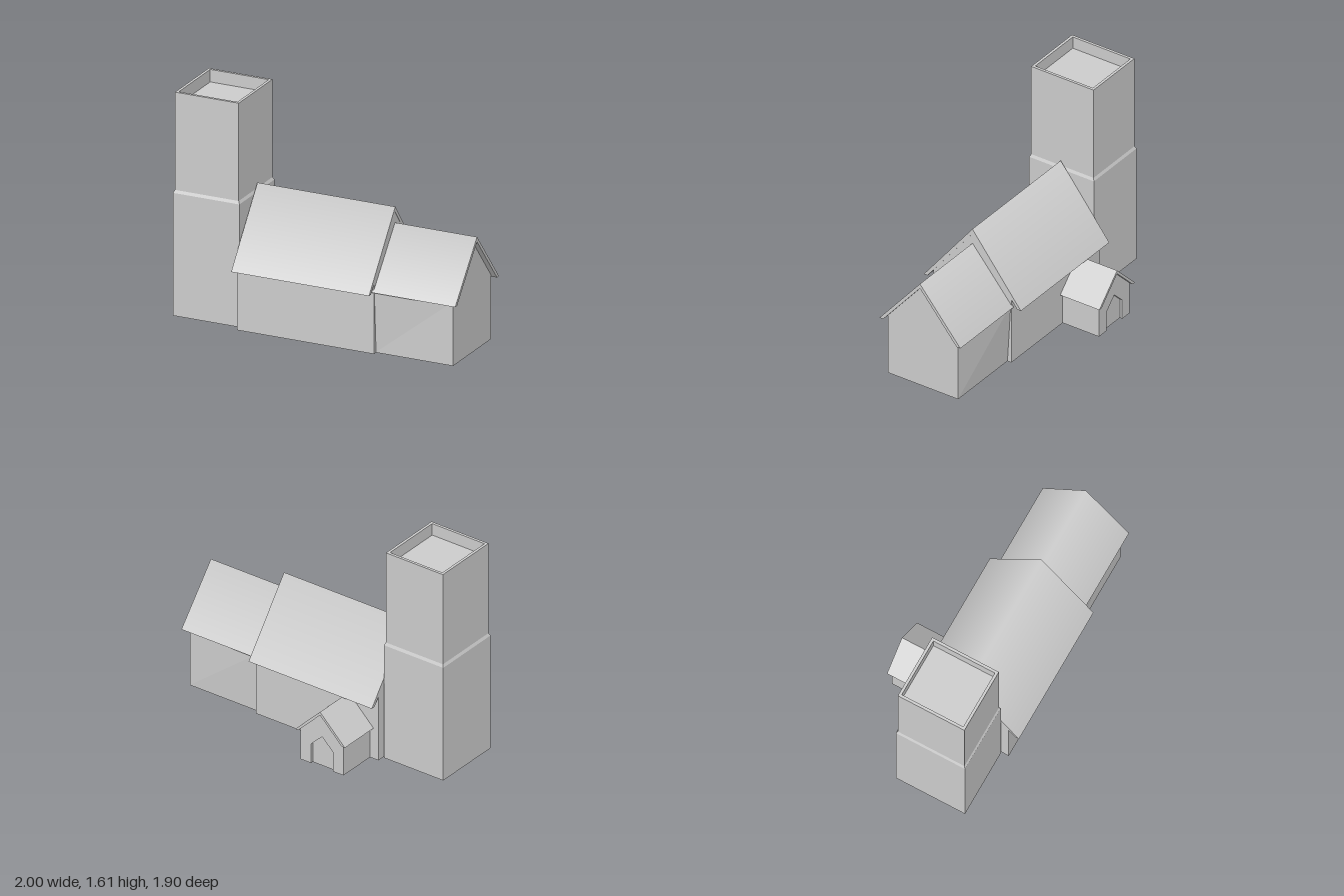
import * as THREE from 'three';

const material = new THREE.MeshStandardMaterial({ color: 0xcccccc });

// Local frame: x runs along the church from tower to chancel, z across it.
export function createModel() {
  const model = new THREE.Group();
  model.name = 'church';
  model.rotation.y = THREE.MathUtils.degToRad(-42.5);

  const add = (parent, name, geometry) => {
    const mesh = new THREE.Mesh(geometry, material);
    mesh.name = name;
    parent.add(mesh);
    return mesh;
  };
  const group = (name) => {
    const g = new THREE.Group();
    g.name = name;
    model.add(g);
    return g;
  };
  const shapeOf = (pts) => new THREE.Shape(pts.map(([x, y]) => new THREE.Vector2(x, y)));
  // Extrude a cross-section from one depth to another along z
  const extrude = (shape, from, to) =>
    new THREE.ExtrudeGeometry(shape, { depth: to - from, bevelEnabled: false }).translate(0, 0, from);

  // Gabled wall outline whose top follows the underside of its roof
  const underside = (r, x) => r.eave + (r.half - r.thick - x) * (r.ridge - r.eave) / r.half;
  const gable = (r, w, opening = []) => shapeOf([
    [-w, 0], ...opening, [w, 0], [w, underside(r, w)], [0, underside(r, 0)], [-w, underside(r, w)],
  ]);

  // Roof: an inverted V with level eaves; shading may blend over the ridge
  const roof = (r, from, to, smooth) => {
    const inner = r.half - r.thick;
    const g = extrude(shapeOf([
      [-r.half, r.eave], [-inner, r.eave], [0, underside(r, 0)],
      [inner, r.eave], [r.half, r.eave], [0, r.ridge],
    ]), from, to);
    const p = g.attributes.position, n = g.attributes.normal;
    for (let i = 0; smooth && i < p.count; i++) {
      if (Math.abs(p.getX(i)) < 1e-4 && Math.abs(n.getZ(i)) < 0.5) n.setXYZ(i, 0, Math.sign(n.getY(i)), 0);
    }
    return g;
  };

  // Nave
  const nave = group('nave');
  const naveRoof = { half: 0.4, eave: 0.445, ridge: 0.955, thick: 0.03 };
  add(nave, 'naveWalls', extrude(gable(naveRoof, 0.32), -0.603, 0.43).rotateY(Math.PI / 2));
  add(nave, 'naveRoof', roof(naveRoof, -0.606, 0.432, true).rotateY(Math.PI / 2));

  // Chancel: the wall heads splay out to meet the nave corners
  const chancel = group('chancel');
  const chancelRoof = { half: 0.333, eave: 0.445, ridge: 0.84, thick: 0.03 };
  const walls = extrude(gable(chancelRoof, 0.288), 0.425, 1.01);
  const wp = walls.attributes.position;
  for (let i = 0; i < wp.count; i++) {
    if (wp.getZ(i) < 0.5 && wp.getY(i) > 0.1) wp.setX(i, wp.getX(i) * 0.315 / 0.288);
  }
  walls.computeVertexNormals();
  add(chancel, 'chancelWalls', walls.rotateY(Math.PI / 2));
  add(chancel, 'chancelRoof', roof(chancelRoof, 0.42, 1.048, true).rotateY(Math.PI / 2));

  // Porch with a shallow pointed doorway
  const porch = group('porch');
  porch.position.x = -0.352;
  const porchRoof = { half: 0.209, eave: 0.238, ridge: 0.445, thick: 0.026 };
  const doorway = [[-0.093, 0], [-0.093, 0.15], [0, 0.24], [0.093, 0.15], [0.093, 0]];
  add(porch, 'porchWalls', extrude(gable(porchRoof, 0.18), -0.6, -0.31));
  add(porch, 'porchFront', extrude(gable(porchRoof, 0.18, doorway), -0.62, -0.6));
  add(porch, 'porchRoof', roof(porchRoof, -0.643, -0.31, false));

  // Tower: base, sloping ledge, upper stage and hollow parapet
  const tower = group('tower');
  tower.position.set(-0.861, 0, -0.003);
  const w = 0.5, d = 0.534, inset = 0.01, rim = 0.02;
  const uw = w - 2 * inset, ud = d - 2 * inset;
  const ledgeLow = 0.885, ledgeHigh = 0.905, deck = 1.52, top = 1.61;
  const block = (name, bw, bd, y0, y1) =>
    add(tower, name, new THREE.BoxGeometry(bw, y1 - y0, bd).translate(0, (y0 + y1) / 2, 0));
  block('towerBase', w, d, 0, ledgeLow);
  block('towerUpper', uw, ud, ledgeHigh, deck);

  const ledge = new THREE.BoxGeometry(w, ledgeHigh - ledgeLow, d).translate(0, (ledgeLow + ledgeHigh) / 2, 0);
  const lp = ledge.attributes.position;
  for (let i = 0; i < lp.count; i++) {
    if (lp.getY(i) > ledgeLow + 0.01) lp.setXYZ(i, lp.getX(i) * uw / w, lp.getY(i), lp.getZ(i) * ud / d);
  }
  ledge.computeVertexNormals();
  add(tower, 'towerLedge', ledge);

  const rect = (a, b) => [[-a, -b], [a, -b], [a, b], [-a, b]];
  const parapet = shapeOf(rect(uw / 2, ud / 2));
  parapet.holes.push(shapeOf(rect(uw / 2 - rim, ud / 2 - rim)));
  add(tower, 'towerParapet', extrude(parapet, deck, top).rotateX(-Math.PI / 2));

  const root = new THREE.Group();
  root.add(model);
  return root;
}
